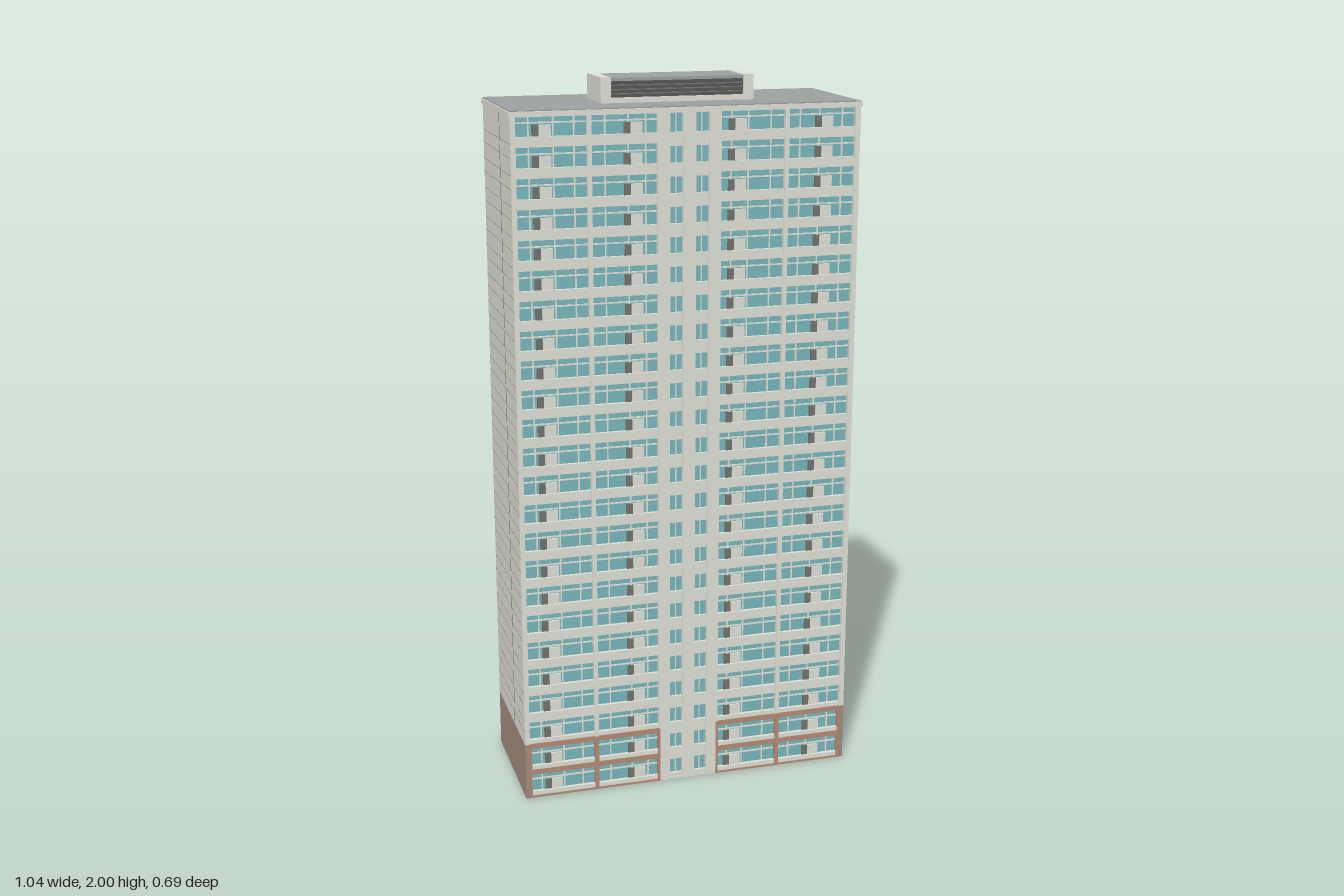
import * as THREE from 'three';
import { mergeGeometries } from 'three/addons/utils/BufferGeometryUtils.js';

const FLOORS = 24, STEP = 0.0803, TOP = FLOORS * STEP;   // storeys
const L = 0.479, W = 0.19, BACK = 0.178;                 // half length, half depth, glass line
const BASE = 0.165;                                      // height of the brick base

const mat = (name, color) => {
  const m = new THREE.MeshStandardMaterial({ color });
  m.name = name;
  return m;
};

export function createModel() {
  const cream = mat('cream concrete', 0xdfe0d6);
  const teal = mat('teal glass', 0x78b6bb);
  const gray = mat('roof gray', 0x9ca1a1);
  const brick = mat('brick', 0xa38a7c);
  const trim = mat('brick trim', 0xb58a75);
  const dark = mat('dark louvre', 0x545554);
  const joint = mat('joint gray', 0x72736e);

  // Boxes given by their limits, gathered into one mesh per part and colour
  const collector = (group) => {
    const parts = new Map();
    return {
      box(name, m, x0, x1, y0, y1, z0, z1) {
        const g = new THREE.BoxGeometry(x1 - x0, y1 - y0, z1 - z0);
        g.translate((x0 + x1) / 2, (y0 + y1) / 2, (z0 + z1) / 2);
        const key = name + m.name;
        if (!parts.has(key)) parts.set(key, { name, m, list: [] });
        parts.get(key).list.push(g);
      },
      finish() {
        for (const { name, m, list } of parts.values()) {
          const mesh = new THREE.Mesh(mergeGeometries(list), m);
          mesh.name = name;
          group.add(mesh);
        }
        return group;
      },
    };
  };

  const tower = new THREE.Group();
  tower.name = 'tower';
  const body = collector(tower);

  // Glazed core, ground slab and roof
  body.box('glazedCore', teal, -0.467, 0.467, 0.003, TOP, -BACK, BACK);
  body.box('groundSlab', cream, -0.477, 0.477, 0, 0.006, -0.187, 0.187);
  body.box('cornice', cream, -0.483, 0.483, 1.916, 1.93, -0.194, 0.194);
  body.box('roof', gray, -0.479, 0.479, 1.925, 1.933, -0.19, 0.19);

  // Rooftop plant room with solid ends and louvred sides
  for (const s of [-1, 1]) {
    const a = s < 0 ? -0.212 : 0.184;
    body.box('plantRoomEnd', cream, a, a + 0.028, 1.93, 2, -0.077, 0.077);
  }
  body.box('plantRoomCore', dark, -0.184, 0.184, 1.93, 1.99, -0.07, 0.07);
  body.box('plantRoomRoof', gray, -0.184, 0.184, 1.99, 1.998, -0.076, 0.076);

  // One half of the building: a long facade and an end wall
  const buildHalf = (name) => {
    const half = new THREE.Group();
    half.name = name;
    const { box, finish } = collector(half);

    // End wall with its brick base, floor joints and vertical groove
    box('endWall', cream, 0.465, L, BASE, TOP, -W, W);
    box('endWallBase', brick, 0.465, L, 0, BASE, -W, W);
    for (let i = 3; i < FLOORS; i++)
      for (const y of [i * STEP, i * STEP - 0.036])
        box('endJoint', joint, L, L + 0.0005, y, y + 0.0008, -W, W);
    box('endGroove', joint, L, L + 0.0005, BASE, TOP, -0.047, -0.044);

    // Plant room louvres
    box('plantRoomSill', cream, -0.184, 0.184, 1.93, 1.947, 0.068, 0.075);
    for (let k = 0; k < 3; k++)
      box('louvreBlade', joint, -0.184, 0.184, 1.955 + k * 0.011, 1.958 + k * 0.011, 0.069, 0.074);

    // Stair core: three piers and two window columns
    for (const [a, b] of [[-0.088, -0.054], [-0.018, 0.018], [0.054, 0.088]])
      box('corePier', cream, a, b, 0, TOP, BACK - 0.01, W);

    for (const s of [-1, 1]) {
      const span = (part, m, a, b, y0, y1, z0, z1) =>
        box(part, m, Math.min(s * a, s * b), Math.max(s * a, s * b), y0, y1, z0, z1);

      // Bay divider and section edges, brick at the base
      span('bayDivider', cream, 0.265, 0.277, BASE, TOP, BACK, W);
      span('bayDividerBase', trim, 0.265, 0.277, 0, BASE, BACK, W);
      span('edgePierBase', trim, 0.46, 0.467, 0, BASE, BACK, W);
      span('innerPierBase', trim, 0.083, 0.09, 0, BASE, BACK, W + 0.001);

      // Window posts
      for (const u of [0.118, 0.165, 0.228, 0.31, 0.365, 0.43])
        span('windowPost', cream, u - 0.002, u + 0.002, 0, TOP, BACK, BACK + 0.003);
      span('coreMullion', cream, 0.034, 0.037, 0, TOP, BACK, BACK + 0.003);

      for (let i = 0; i <= FLOORS; i++) {
        const y = i * STEP, low = i < 3;
        const lo = Math.max(0, y - 0.009);
        // Spandrel bands; the lowest ones carry a brick strip
        if (low) span('brickBand', trim, 0.088, 0.465, lo, y + 0.006, BACK, W);
        if (i < FLOORS) {
          span('spandrel', cream, 0.088, 0.465, low ? y + 0.006 : lo, y + 0.018, BACK, W - 0.002);
          span('coreSpandrel', cream, 0.018, 0.054, Math.max(0, y - 0.018), y + 0.018, BACK, W - 0.004);
          // Thin transom, and low panels with a dark reveal
          span('transom', cream, 0.088, 0.465, y + 0.051, y + 0.055, BACK, BACK + 0.003);
          for (const u of [0.143, 0.387]) {
            box('lowPanel', cream, s * u - 0.016, s * u + 0.016, y + 0.018, y + 0.048, BACK, BACK + 0.005);
            box('panelReveal', joint, s * u - 0.034, s * u - 0.016, y + 0.018, y + 0.048, BACK, BACK + 0.004);
          }
        }
      }
    }
    return finish();
  };

  const front = buildHalf('frontHalf');
  const back = buildHalf('backHalf');
  back.rotation.y = Math.PI;
  body.finish().add(front, back);

  // The block stands at an angle to the axes
  tower.rotation.y = -0.338;
  const model = new THREE.Group();
  model.name = 'apartmentTower';
  model.add(tower);
  return model;
}
